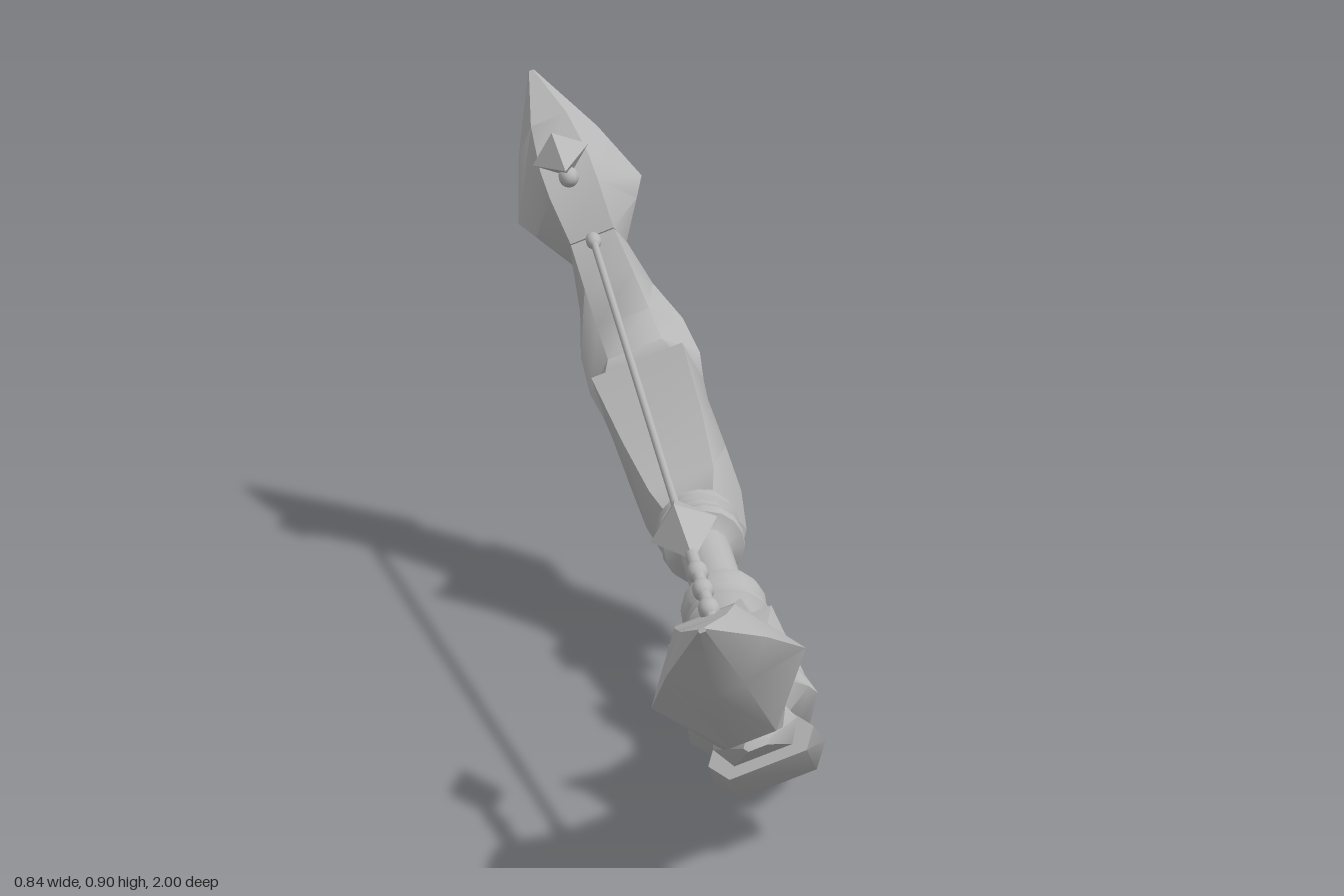
import * as THREE from 'three';
import { toCreasedNormals } from 'three/addons/utils/BufferGeometryUtils.js';

const metal = new THREE.MeshStandardMaterial({ color: 0xb6b6b6 });
metal.name = 'grey';

// Bow space: x runs along the bow, y points towards the string, z is sideways.
// Each section is [innerX, innerY, outerX, outerY, innerHalfWidth, midHalfWidth, outerHalfWidth].
function loft(sections, mirror) {
  const pos = [], index = [], n = 6, s = mirror ? -1 : 1;
  for (const [ix, iy, ox, oy, wi, wm, wo] of sections) {
    const mx = (ix + ox) / 2, my = (iy + oy) / 2;
    const ring = [[ix, iy, wi], [mx, my, wm], [ox, oy, wo], [ox, oy, -wo], [mx, my, -wm], [ix, iy, -wi]];
    for (const [x, y, z] of ring) pos.push(s * x, y, z);
  }
  const tri = (a, b, c) => (mirror ? index.push(a, c, b) : index.push(a, b, c));
  const last = (sections.length - 1) * n;
  for (let i = 0; i < last; i += n) {
    for (let j = 0; j < n; j++) {
      const k = (j + 1) % n;
      tri(i + j, i + k, i + n + j);
      tri(i + k, i + n + k, i + n + j);
    }
  }
  for (let j = 1; j < n - 1; j++) {
    tri(0, j + 1, j);
    tri(last, last + j, last + j + 1);
  }
  const geo = new THREE.BufferGeometry();
  geo.setAttribute('position', new THREE.Float32BufferAttribute(pos, 3));
  geo.setIndex(index);
  return toCreasedNormals(geo, 0.9);
}

const LIMB = [
  [0.17, 0.045, 0.17, -0.045, 0.03, 0.05, 0.03],
  [0.20, 0.05, 0.215, -0.06, 0.035, 0.056, 0.035],
  [0.25, 0.02, 0.25, -0.165, 0.045, 0.072, 0.014],
  [0.32, 0.025, 0.33, -0.105, 0.058, 0.086, 0.072],
  [0.41, 0.085, 0.40, -0.065, 0.072, 0.088, 0.06],
  [0.49, 0.18, 0.45, -0.035, 0.083, 0.088, 0.055],
  [0.53, 0.16, 0.55, -0.01, 0.06, 0.092, 0.055],
  [0.61, 0.145, 0.64, 0.03, 0.05, 0.102, 0.06],
  [0.66, 0.185, 0.70, 0.085, 0.048, 0.095, 0.055],
  [0.71, 0.24, 0.76, 0.145, 0.045, 0.068, 0.045],
  [0.77, 0.305, 0.83, 0.2, 0.04, 0.052, 0.035],
];
const TIP = [
  [0.765, 0.305, 0.84, 0.2, 0.04, 0.05, 0.035],
  [0.81, 0.38, 0.91, 0.22, 0.045, 0.095, 0.045],
  [0.87, 0.41, 0.93, 0.23, 0.045, 0.117, 0.035],
  [0.97, 0.455, 0.995, 0.355, 0.034, 0.075, 0.022],
  [1.083, 0.51, 1.086, 0.505, 0.004, 0.006, 0.004],
];
// Overlapping shards on the outer side of each limb
const SCALES = [
  [[0.355, -0.155, 0.36, -0.165, 0.015, 0.02, 0.015],
    [0.45, -0.06, 0.45, -0.122, 0.04, 0.055, 0.03],
    [0.55, -0.045, 0.56, -0.055, 0.015, 0.02, 0.015]],
  [[0.605, -0.015, 0.61, -0.03, 0.02, 0.03, 0.02],
    [0.68, 0.08, 0.70, 0.01, 0.07, 0.088, 0.06],
    [0.76, 0.15, 0.79, 0.1, 0.06, 0.082, 0.06]],
  [[0.72, 0.125, 0.735, 0.1, 0.04, 0.05, 0.04],
    [0.78, 0.19, 0.81, 0.13, 0.05, 0.065, 0.045],
    [0.87, 0.195, 0.88, 0.185, 0.015, 0.02, 0.015]],
];
// Grip profile from the middle outwards: [radius, x]
const GRIP = [[0.042, 0], [0.042, 0.09], [0.052, 0.098], [0.067, 0.104], [0.07, 0.118], [0.068, 0.132],
  [0.062, 0.14], [0.062, 0.158], [0.069, 0.166], [0.069, 0.183], [0.06, 0.192], [0.045, 0.215]];

export function createModel() {
  const model = new THREE.Group();
  model.name = 'bow';
  const bow = new THREE.Group();
  bow.name = 'bowBody';
  model.add(bow);
  const add = (name, geo, parent = bow) => {
    const mesh = new THREE.Mesh(geo, metal);
    mesh.name = name;
    parent.add(mesh);
    return mesh;
  };
  const rod = (name, from, to, r) => {
    const curve = new THREE.LineCurve3(new THREE.Vector3(...from), new THREE.Vector3(...to));
    add(name, new THREE.TubeGeometry(curve, 1, r, 8));
  };
  const bead = (name, x, y, z, r, stretch) => {
    const mesh = add(name, new THREE.SphereGeometry(r, 10, 8));
    mesh.position.set(x, y, z);
    mesh.scale.x = stretch;
  };

  // Grip with two ringed collars
  const half = GRIP.slice(1).reverse().map(([r, x]) => new THREE.Vector2(r, -x));
  const profile = half.concat(GRIP.map(([r, x]) => new THREE.Vector2(r, x)));
  add('grip', toCreasedNormals(new THREE.LatheGeometry(profile, 16).rotateZ(-Math.PI / 2), 0.7));

  // Limbs, spearhead ends and outer shards, mirrored about the grip
  for (const [side, mirror] of [['lower', false], ['upper', true]]) {
    const limb = new THREE.Group();
    limb.name = side + 'Limb';
    bow.add(limb);
    add(side + 'LimbBody', loft(LIMB, mirror), limb);
    add(side + 'LimbTip', loft(TIP, mirror), limb);
    for (const scale of SCALES) add(side + 'LimbShard', loft(scale, mirror), limb);
    bead(side + 'StringKnot', mirror ? -0.745 : 0.745, 0.304, 0, 0.014, 1.7);
  }
  rod('string', [-0.76, 0.304, 0], [0.76, 0.304, 0], 0.0065);

  // Pendant gems: one on a chain, one close against the tip
  const gem = (name, x0, x1, y, z) => {
    const mesh = add(name, new THREE.OctahedronGeometry(1));
    mesh.position.set((x0 + x1) / 2, y, z);
    mesh.scale.set((x1 - x0) / 2, 0.044, 0.052);
  };
  gem('lowerGem', 0.515, 0.715, 0.418, -0.01);
  rod('lowerChain', [0.69, 0.416, -0.01], [0.93, 0.408, -0.01], 0.01);
  for (const x of [0.745, 0.8, 0.86]) bead('chainLink', x, 0.413, -0.01, 0.016, 1.4);
  gem('upperGem', -0.92, -0.76, 0.438, 0);
  bead('upperGemMount', -0.8, 0.41, 0, 0.018, 1.3);

  // Lean the bow into its resting pose
  const u = new THREE.Vector3(0.34, -0.19, 0.92).normalize();
  const w = new THREE.Vector3().crossVectors(u, new THREE.Vector3(-0.285, 0.91, 0.29)).normalize();
  const v = new THREE.Vector3().crossVectors(w, u);
  bow.quaternion.setFromRotationMatrix(new THREE.Matrix4().makeBasis(u, v, w));
  bow.position.set(0.096, 0.214, -0.147);
  return model;
}
